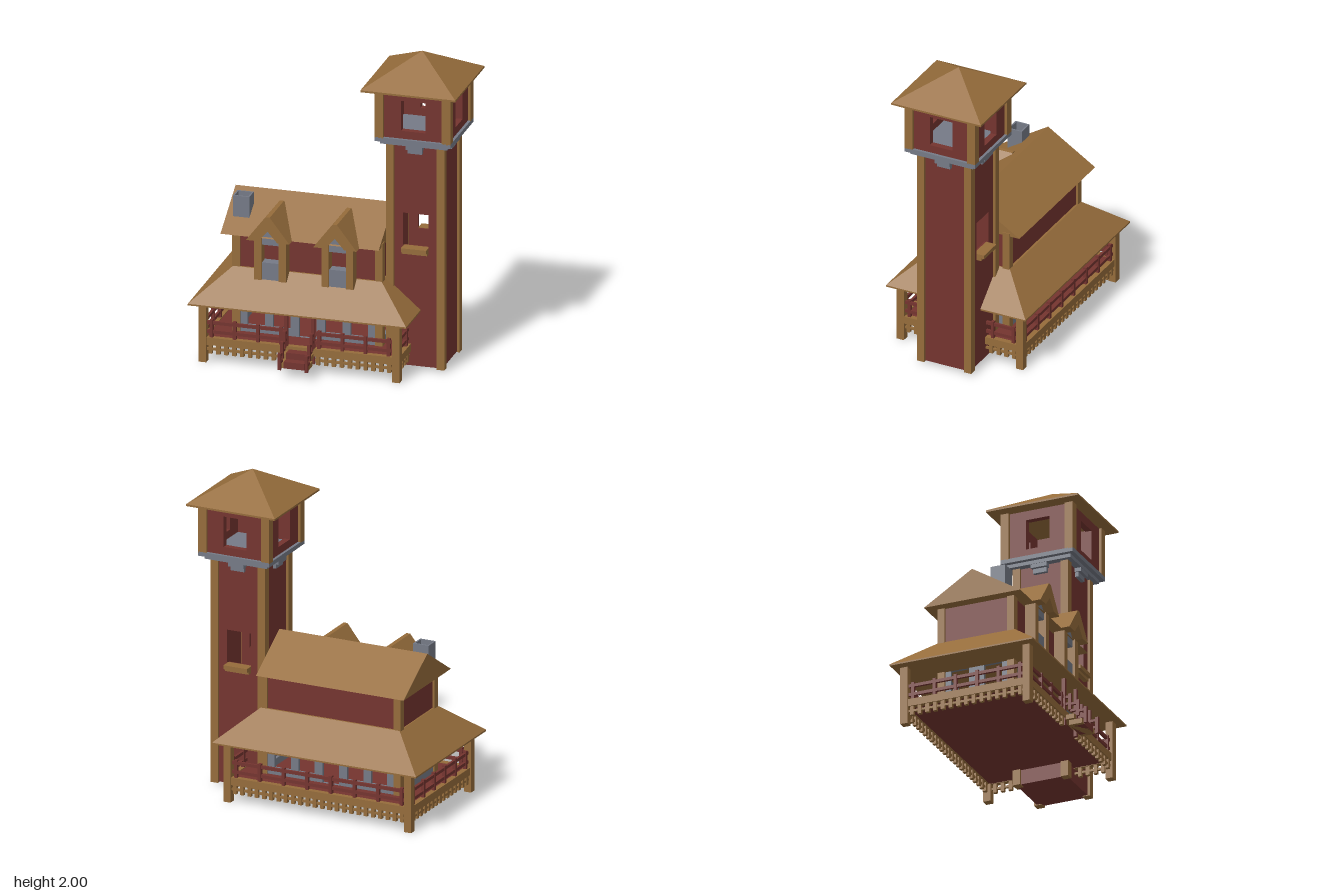
import * as THREE from 'three';

const mat = (name, color) => {
  const m = new THREE.MeshStandardMaterial({ color });
  m.name = name;
  return m;
};

export function createModel() {
  const wood = mat('brown wood', 0x956c3b);
  const red = mat('barn red', 0x74342f);
  const grey = mat('slate grey', 0x757a86);
  const model = new THREE.Group();
  const CZ = -0.045; // shared depth centre
  const HX = -0.13; // house centre
  const TX = 0.53; // tower centre

  const group = (name, parent = model) => {
    const g = new THREE.Group();
    g.name = name;
    parent.add(g);
    return g;
  };
  const add = (parent, name, geo, m, x = 0, y = 0, z = 0, ry = 0) => {
    const mesh = new THREE.Mesh(geo, m);
    mesh.name = name;
    mesh.position.set(x, y, z);
    mesh.rotation.y = ry;
    parent.add(mesh);
    return mesh;
  };
  // box given by its extents
  const box = (p, name, m, x0, x1, y0, y1, z0, z1) =>
    add(p, name, new THREE.BoxGeometry(x1 - x0, y1 - y0, z1 - z0), m, (x0 + x1) / 2, (y0 + y1) / 2, (z0 + z1) / 2);
  // box whose top is narrowed to a smaller rectangle
  const frustum = (w, d, topW, topD, h) => {
    const g = new THREE.BoxGeometry(w, h, d);
    const p = g.attributes.position;
    for (let i = 0; i < p.count; i++) {
      if (p.getY(i) > 0) p.setXYZ(i, (p.getX(i) * topW) / w, h, (p.getZ(i) * topD) / d);
      else p.setY(i, 0);
    }
    g.computeVertexNormals();
    return g;
  };
  const extrude = (pts, depth, holes = []) => {
    const s = new THREE.Shape(pts.map(([x, y]) => new THREE.Vector2(x, y)));
    for (const [a, b, c, d] of holes)
      s.holes.push(new THREE.Path([[a, c], [a, d], [b, d], [b, c]].map(([x, y]) => new THREE.Vector2(x, y))));
    return new THREE.ExtrudeGeometry(s, { depth, bevelEnabled: false });
  };
  // four walls with rectangular openings [x0, x1, y0, y1] around a centre
  const walls = (p, m, cx, hw, hd, y0, y1, t, longHoles, sideHoles) => {
    const rect = (h) => [[-h, y0], [h, y0], [h, y1], [-h, y1]];
    for (const z of [CZ + hd - t, CZ - hd]) add(p, 'wall', extrude(rect(hw), t, longHoles), m, cx, 0, z);
    for (const x of [cx + hw - t, cx - hw]) add(p, 'sideWall', extrude(rect(hd - t), t, sideHoles), m, x, 0, CZ, Math.PI / 2);
  };
  const corners = (p, name, m, cx, hw, hd, y0, y1, t) => {
    for (const sx of [-1, 1]) for (const sz of [-1, 1])
      add(p, name, new THREE.BoxGeometry(t, y1 - y0, t), m, cx + sx * (hw - t / 2), (y0 + y1) / 2, CZ + sz * (hd - t / 2));
  };

  // ---- Tower
  const tower = group('tower');
  walls(tower, red, TX, 0.168, 0.168, 0.02, 1.46, 0.03, [[-0.08, 0.08, 0.79, 1.005]], []);
  box(tower, 'towerBase', red, TX - 0.165, TX + 0.165, 0.02, 0.04, CZ - 0.165, CZ + 0.165);
  corners(tower, 'towerPost', wood, TX, 0.185, 0.185, 0.015, 1.46, 0.05);
  for (const s of [-1, 1]) {
    add(tower, 'windowSill', new THREE.BoxGeometry(0.16, 0.025, 0.07), wood, TX, 0.78, CZ + s * 0.185);
    add(tower, 'sillBracket', new THREE.BoxGeometry(0.16, 0.02, 0.04), wood, TX, 0.76, CZ + s * 0.18);
  }
  add(tower, 'lowerLedge', new THREE.BoxGeometry(0.425, 0.025, 0.425), grey, TX, 1.4675, CZ);
  add(tower, 'upperLedge', new THREE.BoxGeometry(0.48, 0.027, 0.48), grey, TX, 1.4915, CZ);
  for (let i = 0; i < 4; i++) {
    const b = group('ledgeBracket', tower);
    b.position.set(TX, 0, CZ);
    b.rotation.y = (i * Math.PI) / 2;
    box(b, 'bracketTop', grey, -0.052, 0.052, 1.43, 1.456, 0.16, 0.21);
    box(b, 'bracketFoot', grey, -0.045, 0.045, 1.4, 1.43, 0.16, 0.19);
  }
  const lookout = [[-0.077, 0.077, 1.555, 1.75]];
  walls(tower, red, TX, 0.222, 0.222, 1.5, 1.82, 0.04, lookout, lookout);
  corners(tower, 'lookoutPost', wood, TX, 0.24, 0.24, 1.5, 1.82, 0.055);
  add(tower, 'towerRoofEave', new THREE.BoxGeometry(0.6, 0.012, 0.61), wood, 0.52, 1.816, CZ);
  add(tower, 'towerRoof', frustum(0.6, 0.61, 0.001, 0.001, 0.178), wood, 0.52, 1.822, CZ);

  // ---- House
  const house = group('house');
  const mid = [-0.055, 0.055, 0.155, 0.325];
  const openings = [mid];
  for (const s of [-1, 1]) for (const c of [0.165, 0.325]) openings.push([s * c - 0.055, s * c + 0.055, 0.2, 0.375]);
  walls(house, grey, HX, 0.465, 0.245, 0.15, 0.39, 0.02, openings, [[-0.17, -0.05, 0.2, 0.375], [0.05, 0.17, 0.2, 0.375]]);
  corners(house, 'cornerPost', wood, HX, 0.475, 0.255, 0.15, 0.82, 0.048);
  box(house, 'upperFloor', red, HX - 0.462, HX + 0.462, 0.5, 0.82, CZ - 0.242, CZ + 0.242);
  add(house, 'mainRoof', extrude([[-0.32, 0.8], [0.32, 0.8], [0, 1]], 1), wood, -0.66, 0, CZ, Math.PI / 2);
  add(house, 'porchRoofEave', new THREE.BoxGeometry(1.38, 0.01, 0.95), wood, HX, 0.38, CZ);
  add(house, 'porchRoof', frustum(1.38, 0.95, 0.94, 0.51, 0.19), wood, HX, 0.385, CZ);

  // open chimney
  const flue = extrude([[-0.052, -0.048], [0.052, -0.048], [0.052, 0.048], [-0.052, 0.048]], 0.16, [[-0.042, 0.042, -0.038, 0.038]]);
  flue.rotateX(-Math.PI / 2);
  add(house, 'chimney', flue, grey, -0.565, 0.85, 0.107);

  // ---- Dormers
  for (const x of [-0.345, 0.08]) {
    const d = group('dormer', house);
    d.position.x = x;
    const prof = [[-0.137, 0.8], [-0.06, 0.8], [0, 0.868], [0.06, 0.8], [0.137, 0.8], [0.013, 0.96], [-0.013, 0.96]];
    add(d, 'dormerRoof', extrude(prof, 0.3), wood, 0, 0, 0.03);
    add(d, 'dormerGable', extrude([[-0.06, 0.755], [0.06, 0.755], [0.06, 0.805], [0, 0.87], [-0.06, 0.805]], 0.05), grey, 0, 0, 0.215);
    box(d, 'dormerSill', grey, -0.06, 0.06, 0.53, 0.64, 0.2, 0.265);
    for (const s of [-1, 1]) add(d, 'dormerPost', new THREE.BoxGeometry(0.046, 0.3, 0.07), wood, s * 0.078, 0.68, 0.245);
  }

  // ---- Porch
  const porch = group('porch');
  const PW = 0.635, PD = 0.43;
  box(porch, 'porchFloor', red, HX - PW + 0.02, HX + PW - 0.02, 0.115, 0.155, CZ - PD + 0.02, CZ + PD - 0.02);
  corners(porch, 'porchPost', wood, HX, PW, PD, 0, 0.38, 0.048);

  // one side of beam, lattice and railing, built along x, facing +z
  const side = (half, depth, turn, gap) => {
    const g = group('porchSide', porch);
    g.position.set(HX, 0, CZ);
    g.rotation.y = turn;
    box(g, 'beam', wood, -half + 0.02, half - 0.02, 0.112, 0.16, depth - 0.04, depth - 0.006);
    const spans = gap ? [[-half + 0.045, -gap], [gap, half - 0.045]] : [[-half + 0.045, half - 0.045]];
    for (const [a, b] of spans) {
      box(g, 'latticeBar', wood, a, b, 0.076, 0.09, depth - 0.03, depth - 0.015);
      const n = Math.round((b - a) / 0.05);
      for (let i = 0; i < n; i++) {
        const x = a + ((i + 0.5) * (b - a)) / n;
        box(g, 'latticePicket', wood, x - 0.012, x + 0.012, 0.055, 0.115, depth - 0.034, depth - 0.012);
      }
      for (const y of [0.185, 0.243]) box(g, 'rail', red, a, b, y, y + 0.02, depth - 0.034, depth - 0.018);
      const m = Math.max(3, Math.round((b - a) / 0.165));
      for (let i = 0; i <= m; i++) {
        const x = a + 0.03 + (i * (b - a - 0.06)) / m;
        box(g, 'railPost', red, x - 0.01, x + 0.01, 0.155, 0.273, depth - 0.037, depth - 0.015);
      }
    }
  };
  side(PW, PD, 0, 0.09);
  side(PW, PD, Math.PI, 0);
  side(PD, PW, Math.PI / 2, 0);
  side(PD, PW, -Math.PI / 2, 0);

  // ---- Front stairs
  const stairs = group('stairs');
  stairs.position.x = HX;
  [[0.37, 0.435, 0.1, 0.14], [0.4, 0.488, 0.058, 0.1]].forEach(([z0, z1, y0, y1]) => {
    box(stairs, 'step', wood, -0.09, 0.09, y0, y1 - 0.01, z0, z1);
    box(stairs, 'tread', red, -0.065, 0.065, y0, y1, z0 + 0.002, z1 + 0.003);
  });
  for (const s of [-1, 1]) {
    const x = s * 0.085;
    box(stairs, 'entryColumn', red, x - 0.011, x + 0.011, 0.06, 0.385, 0.355, 0.377);
    [[0.405, 0.16], [0.458, 0.11], [0.51, 0.055]].forEach(([z, y]) => {
      box(stairs, 'stairPost', red, x - 0.01, x + 0.01, y, y + 0.107, z - 0.01, z + 0.01);
      for (const h of [0.035, 0.08]) box(stairs, 'stairRail', red, x - 0.007, x + 0.007, y + h, y + h + 0.016, z - 0.05, z);
    });
  }
  return model;
}
